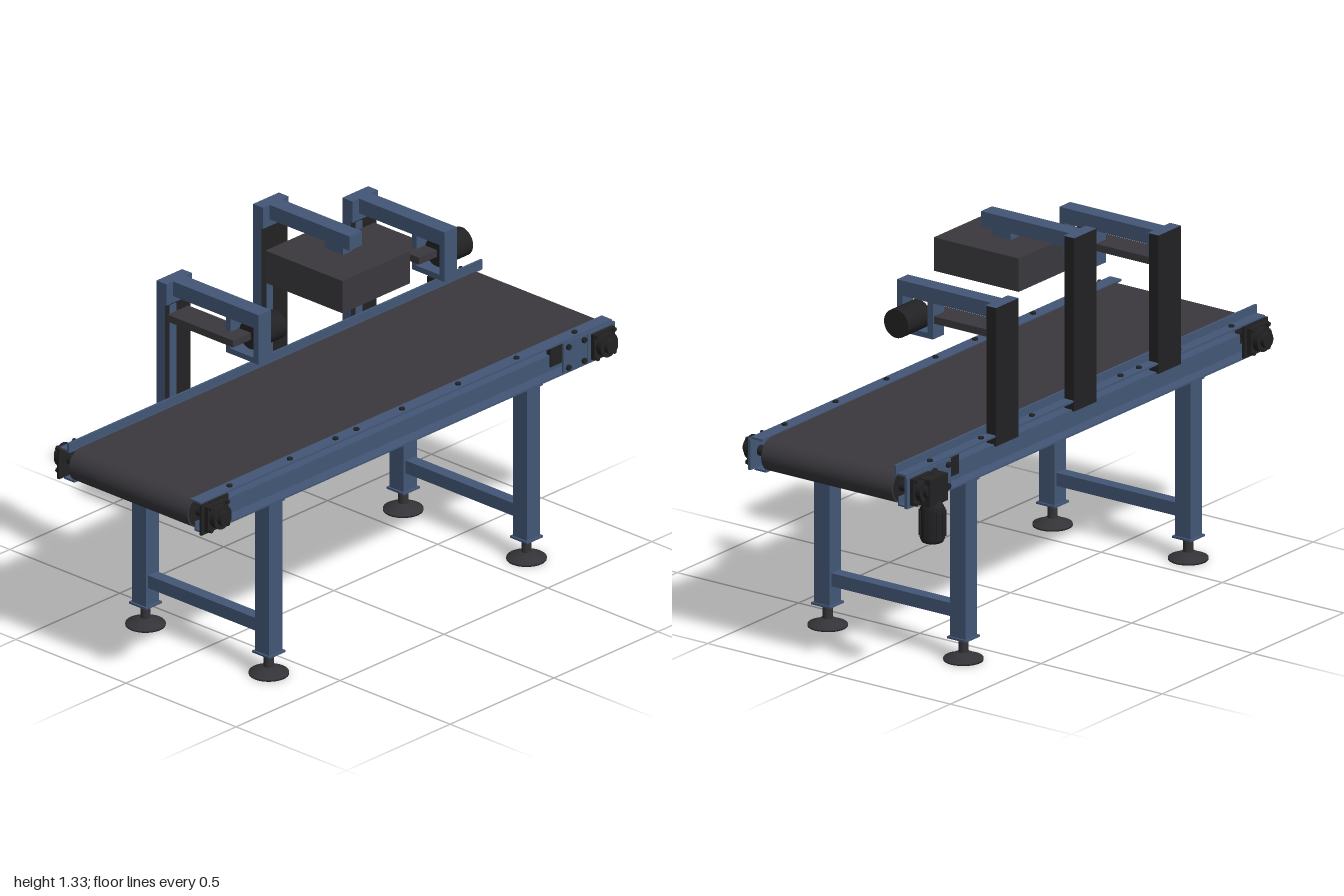
import * as THREE from 'three';

const mat = (name, color, side = THREE.FrontSide) => {
  const m = new THREE.MeshStandardMaterial({ color, side });
  m.name = name;
  return m;
};

export function createModel() {
  const root = new THREE.Group();
  root.name = 'conveyor';
  const blue = mat('steelBlue', 0x435777);
  const grey = mat('beltGrey', 0x3a383d);
  const black = mat('black', 0x222224);
  const rubber = mat('footGrey', 0x343438);

  const add = (name, geo, m, parent = root) => {
    const mesh = new THREE.Mesh(geo, m);
    mesh.name = name;
    parent.add(mesh);
    return mesh;
  };
  // Box given by its minimum and maximum along each axis
  const box = (name, x0, x1, y0, y1, z0, z1, m, parent) => {
    const b = add(name, new THREE.BoxGeometry(x1 - x0, y1 - y0, z1 - z0), m, parent);
    b.position.set((x0 + x1) / 2, (y0 + y1) / 2, (z0 + z1) / 2);
    return b;
  };
  // Cylinder along a chosen axis
  const cyl = (name, axis, r, len, x, y, z, m, parent, seg = 32) => {
    const g = new THREE.CylinderGeometry(r, r, len, seg);
    if (axis === 'x') g.rotateZ(Math.PI / 2);
    if (axis === 'z') g.rotateX(Math.PI / 2);
    const c = add(name, g, m, parent);
    c.position.set(x, y, z);
    return c;
  };

  const midX = 0.01, axleY = 0.698, axleZ = 0.942;

  // Belt loop, open at its sides
  const stadium = (r) => {
    const s = new THREE.Shape();
    s.absarc(axleZ, 0, r, -Math.PI / 2, Math.PI / 2, false);
    s.absarc(-axleZ, 0, r, Math.PI / 2, Math.PI * 1.5, false);
    s.closePath();
    return s;
  };
  const loop = stadium(0.058);
  loop.holes.push(stadium(0.053));
  const beltGeo = new THREE.ExtrudeGeometry(loop, { depth: 0.54, bevelEnabled: false, curveSegments: 24 });
  beltGeo.rotateY(-Math.PI / 2);
  add('belt', beltGeo, grey).position.set(0.28, axleY, 0);
  for (const z of [-axleZ, axleZ]) {
    cyl('roller', 'x', 0.052, 0.535, midX, axleY, z, black);
    cyl('axle', 'x', 0.018, 0.7, midX, axleY, z, black);
  }

  // Side rails, with a slot between the upper web and the lower lip
  for (const s of [-1, 1]) {
    const rail = new THREE.Group();
    rail.name = s > 0 ? 'leftRail' : 'rightRail';
    root.add(rail);
    const at = (name, a, b, y0, y1, z0, z1, m) =>
      box(name, midX + Math.min(s * a, s * b), midX + Math.max(s * a, s * b), y0, y1, z0, z1, m, rail);
    at('topFlange', 0.272, 0.32, 0.751, 0.758, -0.99, 0.99, blue);
    at('web', 0.272, 0.277, 0.682, 0.755, -0.88, 0.88, blue);
    at('centreBeam', 0.277, 0.314, 0.682, 0.725, -0.86, 0.86, blue);
    at('lowerLip', 0.272, 0.277, 0.638, 0.667, -0.97, 0.97, blue);
    at('bottomFlange', 0.272, 0.32, 0.636, 0.642, -0.97, 0.97, blue);

    // Bearing units at both ends
    for (const e of [-1, 1]) {
      const z = e * 0.93;
      at('bearingPlate', 0.318, 0.328, 0.642, 0.752, z - 0.065, z + 0.065, e > 0 ? black : blue);
      at('bearingBlock', 0.328, 0.343, 0.652, 0.744, z - 0.05, z + 0.05, black);
      cyl('bearingRing', 'x', 0.042, 0.03, midX + s * 0.349, axleY, z, black, rail);
      cyl('bearingCap', 'x', 0.026, 0.025, midX + s * 0.367, axleY, z, black, rail);
      for (const dy of [-0.04, 0.04]) for (const dz of [-0.04, 0.04])
        cyl('bearingBolt', 'x', 0.008, 0.012, midX + s * 0.347, axleY + dy, z + dz, black, rail, 6);
    }

    // Belt tensioner plate near the rear
    at('tensionerPlate', 0.318, 0.326, 0.645, 0.752, -0.865, -0.75, blue);
    at('tensionerBlock', 0.3, 0.318, 0.682, 0.752, -0.75, -0.695, black);
    for (const y of [0.66, 0.735]) for (const z of [-0.845, -0.77])
      cyl('tensionerBolt', 'x', 0.01, 0.014, midX + s * 0.329, y, z, black, rail, 6);

    // Rail bolts
    for (const z of [-0.83, -0.55, -0.27, 0, 0.22, 0.32, 0.54, 0.83])
      cyl('railBolt', 'y', 0.01, 0.008, midX + s * 0.3, 0.76, z, black, rail, 12);
  }
  box('sideGuide', -0.272, -0.264, 0.752, 0.786, -0.995, 0.995, blue);

  // Legs on adjustable feet, tied in pairs by a crossbar
  const footProfile = [[0, 0.004], [0.067, 0.004], [0.067, 0.011], [0.045, 0.019], [0.025, 0.03], [0, 0.032]]
    .map(([x, y]) => new THREE.Vector2(x, y));
  for (const z of [-0.62, 0.62]) {
    for (const s of [-1, 1]) {
      const x = midX + s * 0.28;
      box('leg', x - 0.032, x + 0.032, 0.08, 0.636, z - 0.032, z + 0.032, blue);
      box('legTopPlate', x - 0.038, x + 0.038, 0.63, 0.637, z - 0.038, z + 0.038, blue);
      box('legBasePlate', x - 0.039, x + 0.039, 0.077, 0.084, z - 0.039, z + 0.039, blue);
      cyl('footStem', 'y', 0.017, 0.055, x, 0.055, z, rubber);
      add('foot', new THREE.LatheGeometry(footProfile, 32), rubber).position.set(x, -0.004, z);
    }
    box('crossbar', -0.238, 0.258, 0.15, 0.196, z - 0.022, z + 0.022, blue);
  }

  // Drive motor hanging below the gearbox
  box('gearbox', -0.375, -0.315, 0.645, 0.74, -0.945, -0.845, black);
  const motorProfile = [[0, 0], [0.036, 0], [0.042, 0.012], [0.042, 0.115], [0.034, 0.13], [0.028, 0.145], [0, 0.145]]
    .map(([x, y]) => new THREE.Vector2(x, y));
  add('motor', new THREE.LatheGeometry(motorProfile, 32), black).position.set(-0.348, 0.51, -0.895);
  for (let i = 0; i < 12; i++) {
    const a = i * Math.PI / 6;
    const fin = add('motorFin', new THREE.BoxGeometry(0.006, 0.09, 0.006), black);
    fin.position.set(-0.348 + 0.043 * Math.cos(a), 0.575, -0.895 + 0.043 * Math.sin(a));
    fin.rotation.y = -a;
  }

  // Gantry posts: blue front and top, dark remaining sides
  const postMats = [black, black, blue, black, blue, black];
  const post = (name, c, top, armBottom, armEnd) => {
    const g = new THREE.Group();
    g.name = name;
    root.add(g);
    box('post', -0.313, -0.274, 0.72, top, c - 0.062, c + 0.062, postMats, g);
    box('postStrip', -0.274, -0.269, 0.76, 1.12, c + 0.012, c + 0.042, blue, g);
    box('postHead', -0.274, -0.268, armBottom - 0.025, top, c - 0.062, c + 0.062, blue, g);
    box('arm', -0.27, armEnd, armBottom, top, c - 0.03, c + 0.03, blue, g);
    return g;
  };

  // Two sensor gantries with a square end frame, camera and light bar
  for (const c of [0.46, -0.435]) {
    const g = post('sensorGantry', c, 1.205, 1.152, 0.12);
    box('frameInnerSide', -0.028, -0.006, 1.025, 1.152, c - 0.03, c + 0.03, blue, g);
    box('frameOuterSide', 0.098, 0.12, 1.025, 1.152, c - 0.03, c + 0.03, blue, g);
    box('frameBottom', -0.006, 0.098, 1.025, 1.044, c - 0.03, c + 0.03, blue, g);
    cyl('camera', 'z', 0.05, 0.125, 0.045, 1.095, c - 0.0725, black, g);
    box('lightBar', -0.25, 0.048, 1.08, 1.105, c - 0.025, c + 0.075, grey, g);
  }

  // Middle gantry carrying a hood open at the bottom
  const g = post('hoodGantry', -0.005, 1.327, 1.275, 0.095);
  box('hoodHanger', -0.02, 0.06, 1.24, 1.28, -0.025, 0.02, blue, g);
  box('hoodTop', -0.15, 0.2, 1.19, 1.247, -0.155, 0.17, grey, g);
  box('hoodRightWall', -0.15, -0.11, 1.13, 1.19, -0.155, 0.17, grey, g);
  box('hoodLeftWall', 0.16, 0.2, 1.13, 1.19, -0.155, 0.17, grey, g);
  box('hoodFrontWall', -0.11, 0.16, 1.13, 1.19, 0.13, 0.17, grey, g);
  box('hoodBackWall', -0.11, 0.16, 1.13, 1.19, -0.155, -0.115, grey, g);
  box('hoodPanel', -0.11, 0.16, 1.184, 1.19, -0.115, 0.13, black, g);

  return root;
}
